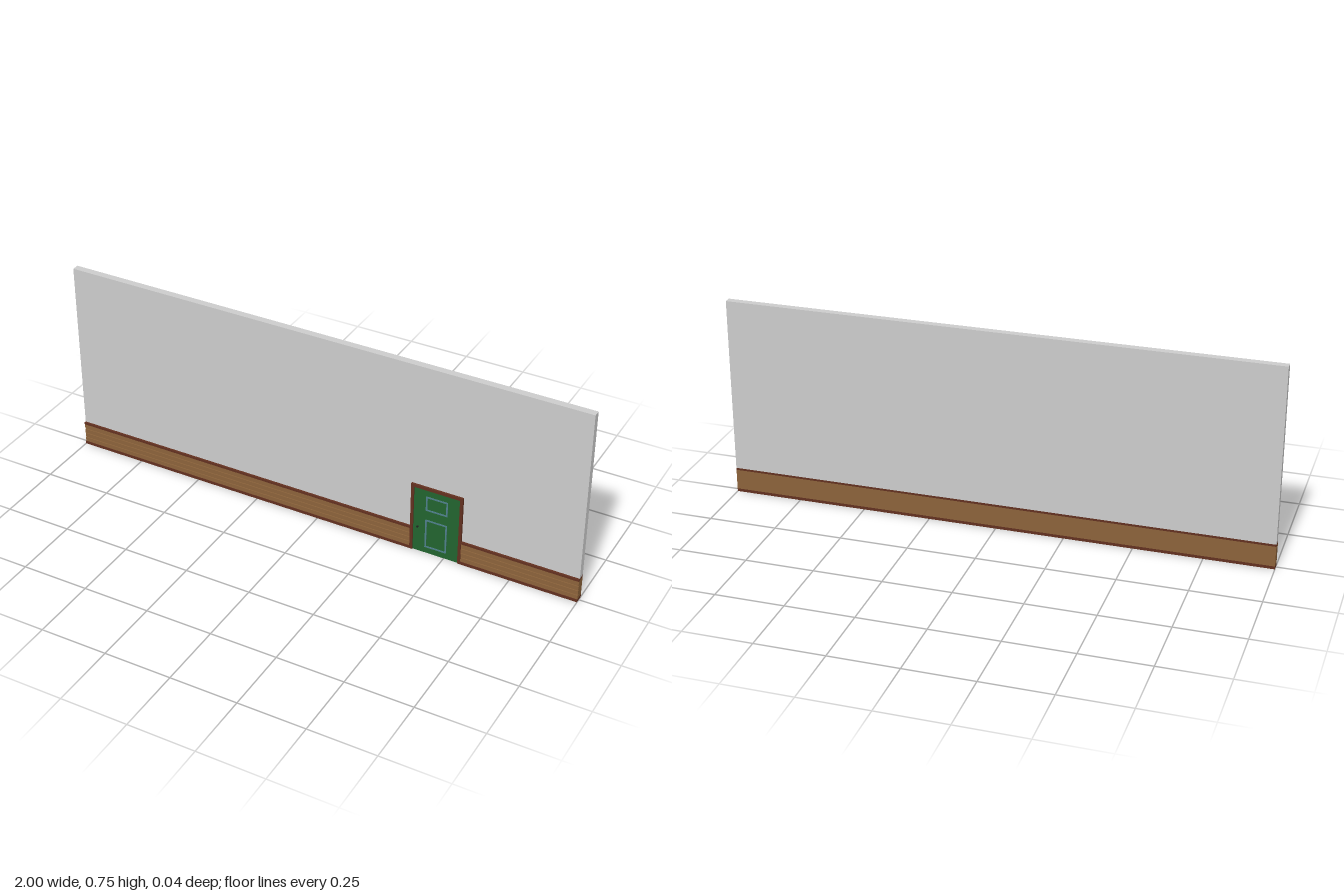
import * as THREE from 'three';

const mat = (color) => new THREE.MeshStandardMaterial({ color });

export function createModel() {
  const model = new THREE.Group();
  const grey = mat(0xcccccc), wood = mat(0x8b623a), trim = mat(0x62301f);
  const green = mat(0x22642f), blue = mat(0x4f7f8c), dark = mat(0x1c1c1c);

  // Box given by its limits on each axis
  function slab(name, material, [x0, x1], [y0, y1], [z0, z1], parent = model) {
    const mesh = new THREE.Mesh(new THREE.BoxGeometry(x1 - x0, y1 - y0, z1 - z0), material);
    mesh.position.set((x0 + x1) / 2, (y0 + y1) / 2, (z0 + z1) / 2);
    mesh.name = name;
    parent.add(mesh);
    return mesh;
  }

  const back = -0.018, face = 0.008, front = 0.016;
  const doorL = 0.368, doorR = 0.564, doorTop = 0.278, jamb = 0.011;

  // Wall and the full-thickness wooden base under it
  slab('wall', grey, [-1, 1], [0.095, 0.75], [back, face]);
  slab('wainscotCore', wood, [-1, 1], [0.011, 0.087], [back, face]);
  slab('baseTrimCore', trim, [-1, 1], [0, 0.011], [back, face]);
  slab('topTrimCore', trim, [-1, 1], [0.087, 0.095], [back, face]);

  // Planks and rails on the front, either side of the door
  for (const span of [[-1, doorL], [doorR, 1]]) {
    const panelling = new THREE.Group();
    panelling.name = 'wainscot';
    model.add(panelling);
    slab('baseTrim', trim, span, [0, 0.011], [face, front], panelling);
    slab('topTrim', trim, span, [0.087, 0.095], [face, front], panelling);
    const count = 4, pitch = 0.076 / count;
    for (let i = 0; i < count; i++) {
      const y = 0.011 + i * pitch;
      const gap = i < count - 1 ? 0.003 : 0;
      slab('plank', wood, span, [y, y + pitch - gap], [face, 0.014], panelling);
    }
  }

  // Door with its frame
  const door = new THREE.Group();
  door.name = 'door';
  model.add(door);
  slab('doorLeaf', green, [doorL + jamb, doorR - jamb], [0, doorTop - jamb], [face, 0.012], door);
  slab('rightJamb', trim, [doorL, doorL + jamb], [0, doorTop], [face, front], door);
  slab('leftJamb', trim, [doorR - jamb, doorR], [0, doorTop], [face, front], door);
  slab('lintel', trim, [doorL + jamb, doorR - jamb], [doorTop - jamb, doorTop], [face, front], door);

  // Raised outlines of the two door panels
  for (const [y0, y1] of [[0.024, 0.142], [0.18, 0.24]]) {
    const x0 = 0.425, x1 = 0.508, w = 0.006, z = [0.012, 0.0135];
    slab('panelMoulding', blue, [x0, x0 + w], [y0, y1], z, door);
    slab('panelMoulding', blue, [x1 - w, x1], [y0, y1], z, door);
    slab('panelMoulding', blue, [x0 + w, x1 - w], [y0, y0 + w], z, door);
    slab('panelMoulding', blue, [x0 + w, x1 - w], [y1 - w, y1], z, door);
  }

  // Knob on a short stem
  const stem = new THREE.Mesh(new THREE.CylinderGeometry(0.002, 0.002, 0.004, 12), dark);
  stem.rotation.x = Math.PI / 2;
  stem.position.set(0.397, 0.104, 0.0135);
  stem.name = 'knobStem';
  const knob = new THREE.Mesh(new THREE.SphereGeometry(0.004, 16, 12), dark);
  knob.position.set(0.397, 0.104, 0.016);
  knob.name = 'knob';
  door.add(stem, knob);

  return model;
}
